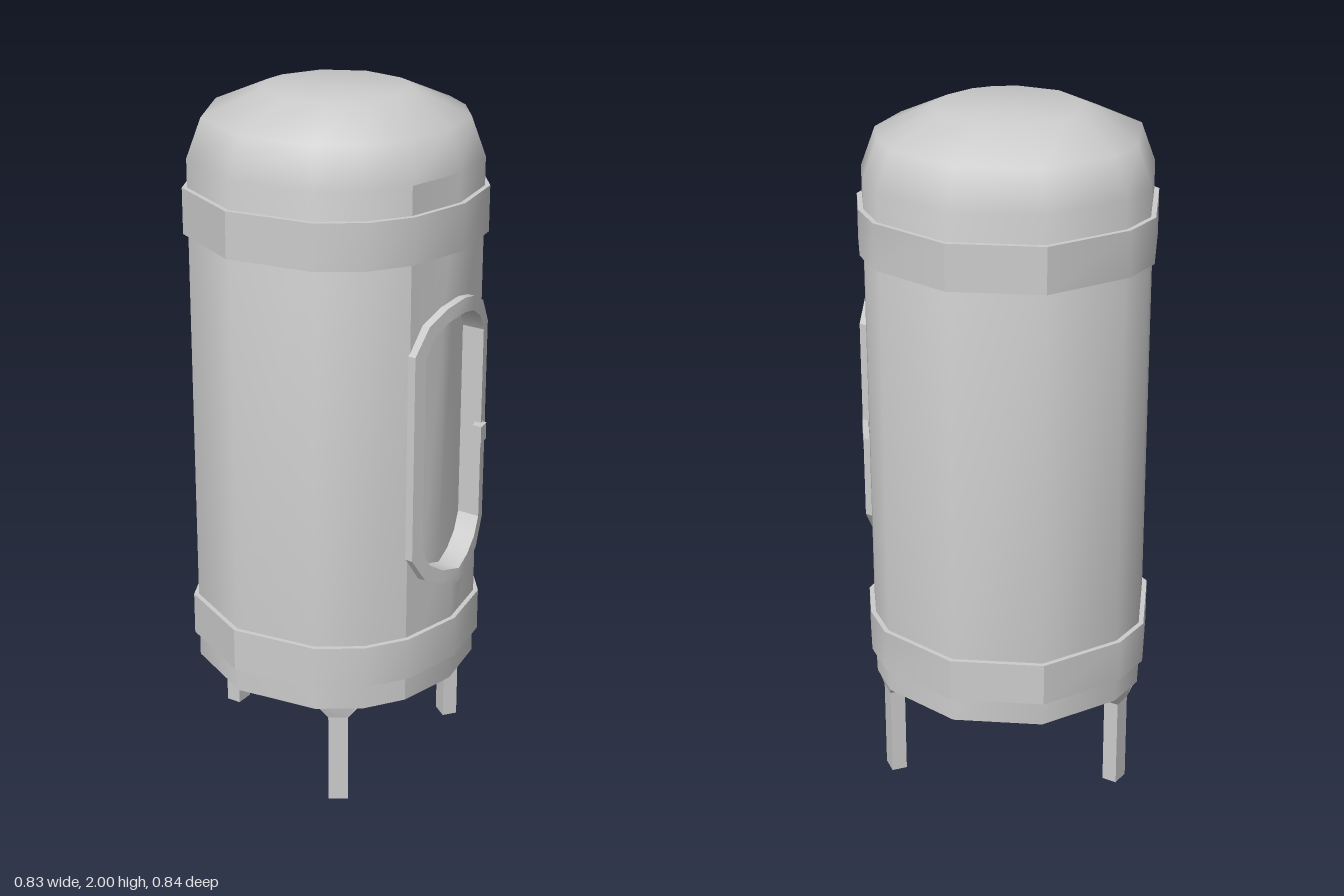
import * as THREE from 'three';
import { mergeGeometries, toCreasedNormals } from 'three/addons/utils/BufferGeometryUtils.js';

const material = new THREE.MeshStandardMaterial({ color: 0xcccccc });

// Irregular hull section (x, z), from the front round through +x
const HULL = [[0.01, 0.395], [0.19, 0.36], [0.3, 0.27], [0.37, 0.17], [0.4, -0.075], [0.28, -0.3],
  [0.055, -0.405], [-0.07, -0.405], [-0.295, -0.285], [-0.4, -0.06], [-0.36, 0.18], [-0.28, 0.29], [-0.17, 0.36]];
const FRONT = [...HULL.slice(10), ...HULL.slice(0, 4)];
const CX = 0.01, DOOR_Y = 1.055;

// Depth of the faceted front wall at a given x
function wallZ(x) {
  for (let i = 0; i < FRONT.length - 1; i++) {
    const [x0, z0] = FRONT[i], [x1, z1] = FRONT[i + 1];
    if (x <= x1 || i === FRONT.length - 2) return z0 + (z1 - z0) * (x - x0) / (x1 - x0);
  }
}

// Skin closed rings of [x, y, z] points; skip(i, j) leaves a quad open
function loft(rings, skip = () => false) {
  const pos = [], n = rings[0].length;
  const same = (p, q) => p.every((v, k) => Math.abs(v - q[k]) < 1e-6);
  const tri = (a, b, c) => {
    if (!same(a, b) && !same(b, c) && !same(a, c)) pos.push(...a, ...b, ...c);
  };
  for (let j = 0; j < rings.length - 1; j++) {
    for (let i = 0; i < n; i++) {
      if (skip(i, j)) continue;
      const k = (i + 1) % n;
      tri(rings[j][i], rings[j][k], rings[j + 1][k]);
      tri(rings[j][i], rings[j + 1][k], rings[j + 1][i]);
    }
  }
  return new THREE.BufferGeometry().setAttribute('position', new THREE.Float32BufferAttribute(pos, 3));
}

const hullRing = ([s, y]) => HULL.map(([x, z]) => [x * s, y, z * s]);

function add(parent, name, geometry) {
  const mesh = new THREE.Mesh(geometry, material);
  mesh.name = name;
  parent.add(mesh);
  return mesh;
}

// Flat outline laid onto the front wall at an offset
function wallSheet(points, offset) {
  const g = new THREE.ShapeGeometry(new THREE.Shape(points.map(([x, y]) => new THREE.Vector2(x, y)))).toNonIndexed();
  g.deleteAttribute('uv');
  g.deleteAttribute('normal');
  const p = g.attributes.position;
  for (let i = 0; i < p.count; i++) p.setZ(i, wallZ(p.getX(i)) + offset);
  return g;
}

// Rounded door outlines, given as one quarter from side to top
const OUTER = [[0.185, 0.3], [0.135, 0.375], [0.07, 0.408], [0, 0.425]];
const INNER = [[0.147, 0.285], [0.117, 0.335], [0.065, 0.368], [0, 0.383]];

// Half an outline from bottom to top, side = 1 or -1
function halfOutline(quarter, side) {
  const lower = [...quarter].reverse().map(([x, y]) => [x, -y]);
  return [...lower, ...quarter].map(([x, y]) => [CX + side * x, DOOR_Y + y]);
}
const fullOutline = q => [...halfOutline(q, 1), ...halfOutline(q, -1).reverse().slice(1, -1)];

// Thin box bent to follow the front wall
function wallBox(x0, x1, y0, y1, z0, z1, segments) {
  const g = new THREE.BoxGeometry(x1 - x0, y1 - y0, z1 - z0, segments, 1, 1);
  g.translate((x0 + x1) / 2, (y0 + y1) / 2, (z0 + z1) / 2);
  const p = g.attributes.position;
  for (let i = 0; i < p.count; i++) p.setZ(i, p.getZ(i) + wallZ(p.getX(i)));
  return toCreasedNormals(g, 0.6);
}

export function createModel() {
  const model = new THREE.Group();
  model.name = 'chamber';

  // Hull with domed top; the two front facets are replaced by sheets with a door opening
  const y0 = 0.31, y1 = 1.82;
  const shell = loft([[0, y0], [1, y0], [1, y1], [0.9, 1.93], [0.5, 2], [0, 2]].map(hullRing),
    (i, j) => j === 1 && (i === 0 || i === HULL.length - 1));
  const sheets = [1, -1].map(side => wallSheet([
    [CX, y0], [CX + side * 0.18, y0], [CX + side * 0.18, y1], [CX, y1],
    ...halfOutline(INNER, side).reverse()], 0));
  add(model, 'hull', toCreasedNormals(mergeGeometries([shell, ...sheets]), 1.0));

  // Reinforcing bands
  for (const [name, a, b] of [['lowerBand', 0.385, 0.51], ['upperBand', 1.61, 1.74]]) {
    const rings = [[0.98, a], [1.035, a], [1.035, b], [0.98, b]].map(hullRing);
    add(model, name, toCreasedNormals(loft(rings), 0.6));
  }

  // Door: raised frame with deep inner walls, recessed panel, handle
  const door = new THREE.Group();
  door.name = 'door';
  model.add(door);
  const frameRings = [[OUTER, -0.01], [OUTER, 0.023], [INNER, 0.023], [INNER, -0.045]]
    .map(([q, off]) => fullOutline(q).map(([x, y]) => [x, y, wallZ(x) + off]));
  add(door, 'doorFrame', toCreasedNormals(loft(frameRings), 0.5));
  const panels = [1, -1].map(side => wallSheet(halfOutline(INNER, side), -0.045));
  add(door, 'doorPanel', toCreasedNormals(mergeGeometries(panels), 0.6));
  add(door, 'handleCatch', wallBox(0.13, 0.17, 1.01, 1.06, 0.005, 0.035, 1));
  add(door, 'handleBar', wallBox(0.15, 0.3, 1.02, 1.06, 0.003, 0.025, 3));

  // Three legs, flared where they meet the hull
  const profile = [[-0.028, 0], [0.028, 0], [0.028, 0.27], [0.058, 0.31], [0.058, 0.32],
    [-0.058, 0.32], [-0.058, 0.31], [-0.028, 0.27]];
  const legGeometry = new THREE.ExtrudeGeometry(
    new THREE.Shape(profile.map(([x, y]) => new THREE.Vector2(x, y))), { depth: 0.045, bevelEnabled: false });
  legGeometry.translate(0, 0, -0.0225);
  const p = legGeometry.attributes.position;
  for (let i = 0; i < p.count; i++) if (p.getY(i) > 0.3) p.setZ(i, p.getZ(i) + 0.01);
  legGeometry.computeVertexNormals();
  for (const [name, x, z] of [['leftLeg', 0.298, 0.21], ['rightLeg', -0.288, 0.21], ['backLeg', -0.012, -0.368]]) {
    const leg = add(model, name, legGeometry);
    leg.position.set(x, 0, z);
    leg.rotation.y = Math.atan2(x, z);
  }

  return model;
}
